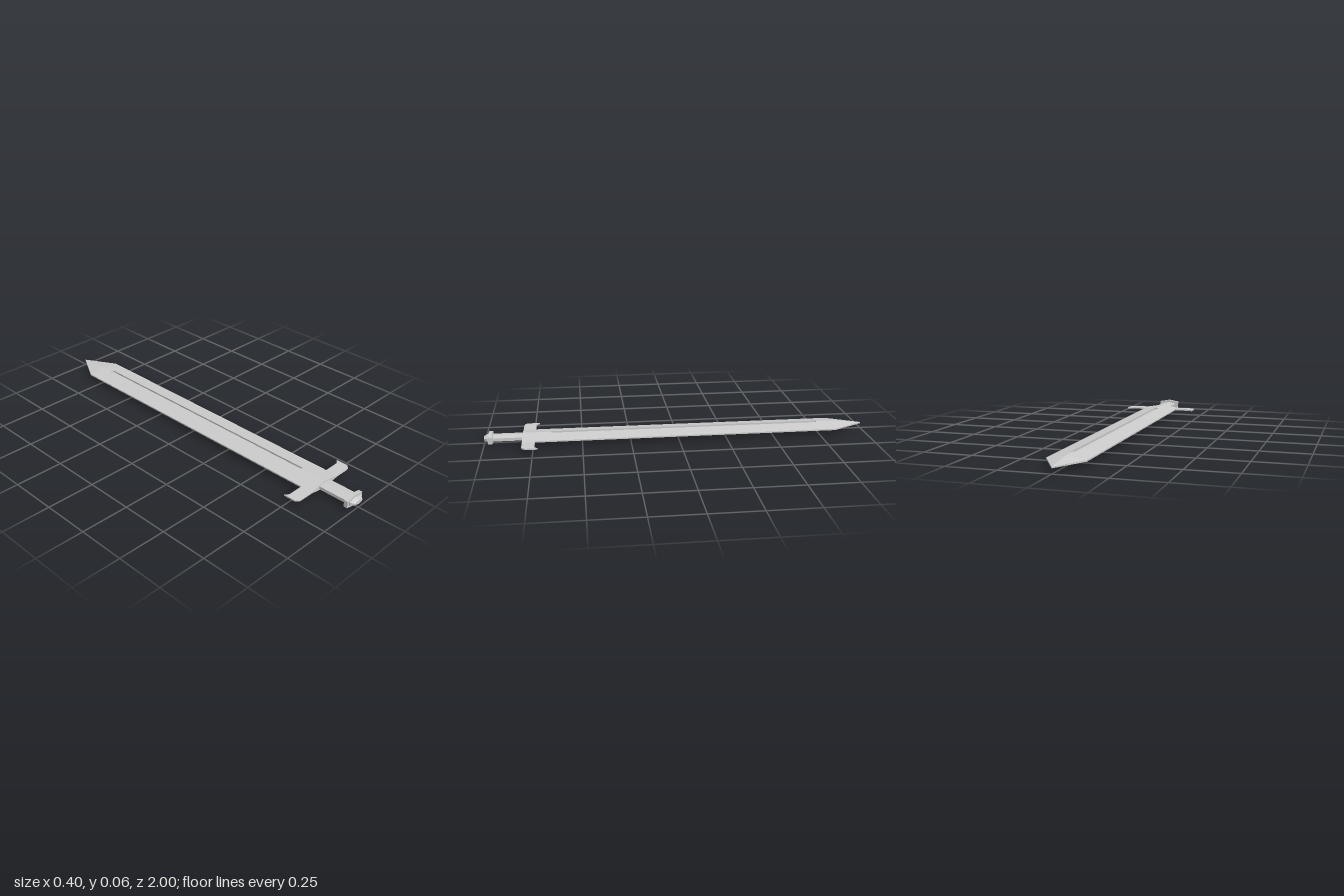
import * as THREE from 'three';

const MID = 0.028; // height of the sword's middle plane
const material = new THREE.MeshStandardMaterial({ color: 0xcccccc, flatShading: true });

// Skin a row of equal-sized rings (counter-clockwise seen from the far end) and cap both ends.
function loft(rings) {
  const pos = [];
  const tri = (...corners) => corners.forEach((p) => pos.push(...p));
  const n = rings[0].length;
  for (let r = 0; r + 1 < rings.length; r++) {
    for (let i = 0; i < n; i++) {
      const j = (i + 1) % n;
      const [a, b, c, d] = [rings[r][i], rings[r][j], rings[r + 1][j], rings[r + 1][i]];
      tri(a, b, c);
      tri(a, c, d);
    }
  }
  const cap = (ring, flip) => {
    const mid = [0, 1, 2].map((k) => ring.reduce((s, p) => s + p[k], 0) / n);
    ring.forEach((p, i) => {
      const q = ring[(i + 1) % n];
      if (flip) tri(mid, q, p);
      else tri(mid, p, q);
    });
  };
  cap(rings[0], true);
  cap(rings[rings.length - 1], false);
  const geometry = new THREE.BufferGeometry();
  geometry.setAttribute('position', new THREE.Float32BufferAttribute(pos, 3));
  geometry.computeVertexNormals();
  return geometry;
}

// Blade section: thin edges, raised ridge and an optional fuller on each face.
const HALF_WIDTH = 0.095, EDGE = 0.0035, RIDGE = 0.02, FULLER = 0.012;
function bladeRing(z, scale, depth) {
  const w = HALF_WIDTH * scale, g = FULLER * scale;
  const ridge = EDGE + (RIDGE - EDGE) * scale;
  const lip = ridge - (ridge - EDGE) * FULLER / HALF_WIDTH;
  const floor = lip - depth;
  const top = [[w, EDGE], [g, lip], [g, floor], [0, depth ? floor : ridge], [-g, floor], [-g, lip], [-w, EDGE]];
  return [...top, ...top.map(([x, y]) => [-x, -y])].map(([x, y]) => [x, y, z]);
}

// Pointed six-sided section used by the grip and pommel.
function hexRing(z, halfWidth, side, peak) {
  return [[halfWidth, -side], [halfWidth, side], [0, peak], [-halfWidth, side], [-halfWidth, -side], [0, -peak]]
    .map(([x, y]) => [x, y, z]);
}

export function createModel() {
  const sword = new THREE.Group();
  sword.name = 'sword';
  const add = (name, geometry) => {
    const mesh = new THREE.Mesh(geometry, material);
    mesh.name = name;
    mesh.position.y = MID;
    sword.add(mesh);
    return mesh;
  };

  // Blade from the point to the back of the guard
  add('blade', loft([
    [-1, 0.001, 0], [-0.83, 1, 0], [-0.75, 1, 0], [-0.75, 1, 0.009],
    [0.66, 1, 0.009], [0.66, 1, 0], [0.805, 1, 0],
  ].map((s) => bladeRing(...s))));

  // Guard arms with tips hooked towards the point: x, near z, far z
  const arm = loft([
    [0.09, 0.74, 0.805], [0.175, 0.74, 0.805], [0.185, 0.737, 0.802], [0.2, 0.723, 0.787],
  ].map(([x, z0, z1]) => [[x, -EDGE, z0], [x, EDGE, z0], [x, EDGE, z1], [x, -EDGE, z1]]));
  add('leftGuardArm', arm);
  add('rightGuardArm', arm).rotation.z = Math.PI;

  // Grip
  add('grip', loft([hexRing(0.79, 0.04, 0.008, 0.015), hexRing(0.96, 0.04, 0.008, 0.015)]));

  // Pommel plate and its tapered end
  add('pommelPlate', loft([hexRing(0.957, 0.056, 0.018, 0.028), hexRing(0.977, 0.056, 0.018, 0.028)]));
  add('pommelEnd', loft([hexRing(0.97, 0.043, 0.0085, 0.017), hexRing(0.982, 0.043, 0.0085, 0.017), hexRing(1, 0.027, 0.004, 0.011)]));

  return sword;
}
